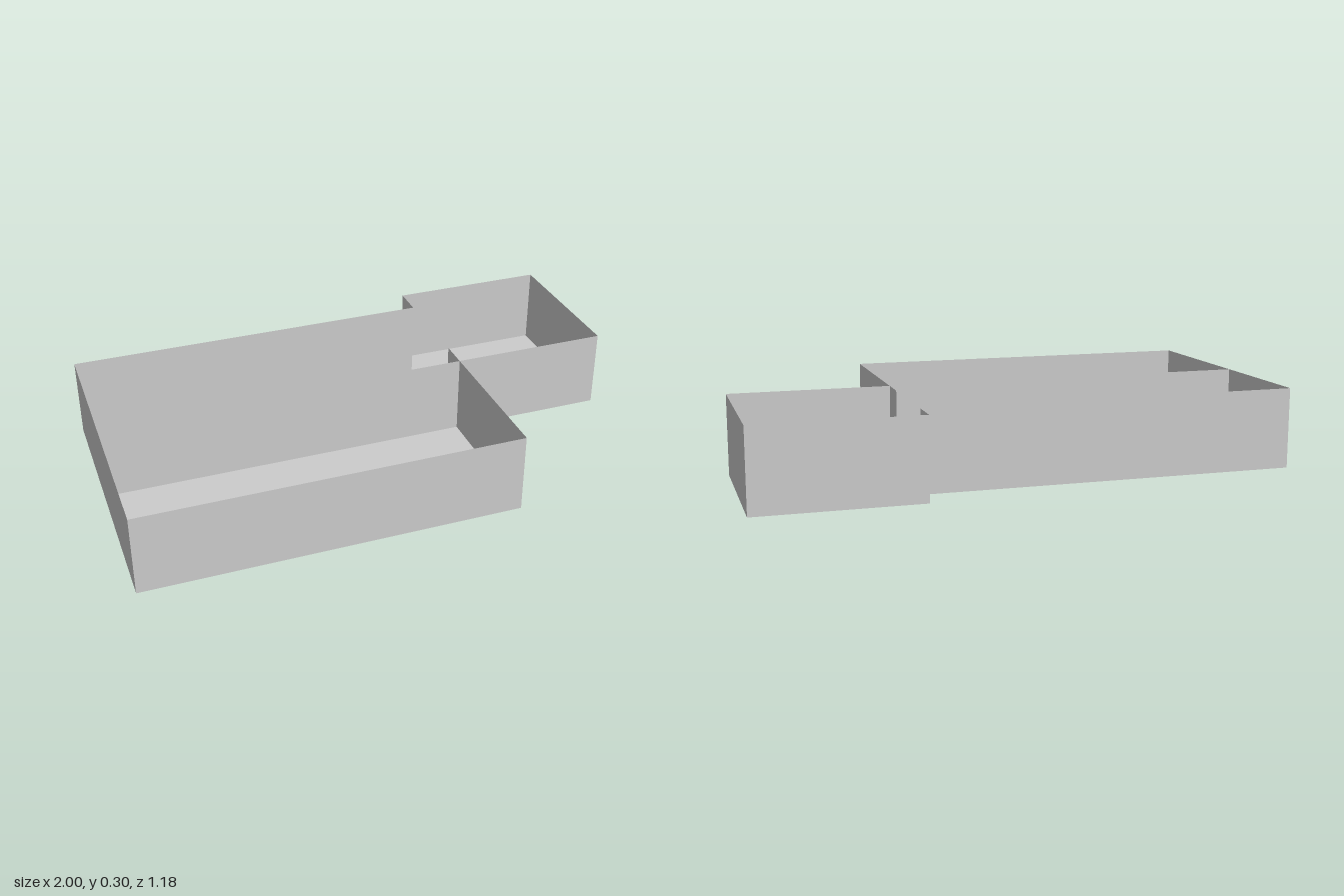
import * as THREE from 'three';

const HEIGHT = 0.3;

export function createModel() {
  const model = new THREE.Group();
  const material = new THREE.MeshStandardMaterial({
    color: 0xcccccc, flatShading: true, side: THREE.DoubleSide,
  });

  // Key lines of the plan
  const left = -1, inner = 0.4, right = 1;
  const back = -0.59, mainBack = -0.47, doorEnd = -0.1, middle = 0.01, front = 0.59;

  // Paper-thin upright wall between two plan points
  function addWall(name, x1, z1, x2, z2) {
    const wall = new THREE.Mesh(
      new THREE.PlaneGeometry(Math.hypot(x2 - x1, z2 - z1), HEIGHT), material);
    wall.name = name;
    wall.position.set((x1 + x2) / 2, HEIGHT / 2, (z1 + z2) / 2);
    wall.rotation.y = -Math.atan2(z2 - z1, x2 - x1);
    model.add(wall);
  }

  // Outer walls, walked around the plan
  const outline = [
    [left, front], [inner, front], [inner, middle], [right, middle],
    [right, back], [inner, back], [inner, mainBack], [left, mainBack],
  ];
  const names = ['frontWall', 'frontRoomSideWall', 'annexFrontWall', 'annexSideWall',
    'annexBackWall', 'annexReturnWall', 'mainBackWall', 'mainSideWall'];
  outline.forEach(([x, z], i) => {
    const [nx, nz] = outline[(i + 1) % outline.length];
    addWall(names[i], x, z, nx, nz);
  });

  // Partition between the long rooms, and the stub beside the open doorway
  addWall('partition', left, middle, inner, middle);
  addWall('doorwayStub', inner, middle, inner, doorEnd);

  // Floor slab following the outline
  const shape = new THREE.Shape(outline.map(([x, z]) => new THREE.Vector2(x, -z)));
  const floor = new THREE.Mesh(new THREE.ShapeGeometry(shape), material);
  floor.name = 'floor';
  floor.rotation.x = -Math.PI / 2;
  model.add(floor);

  return model;
}
